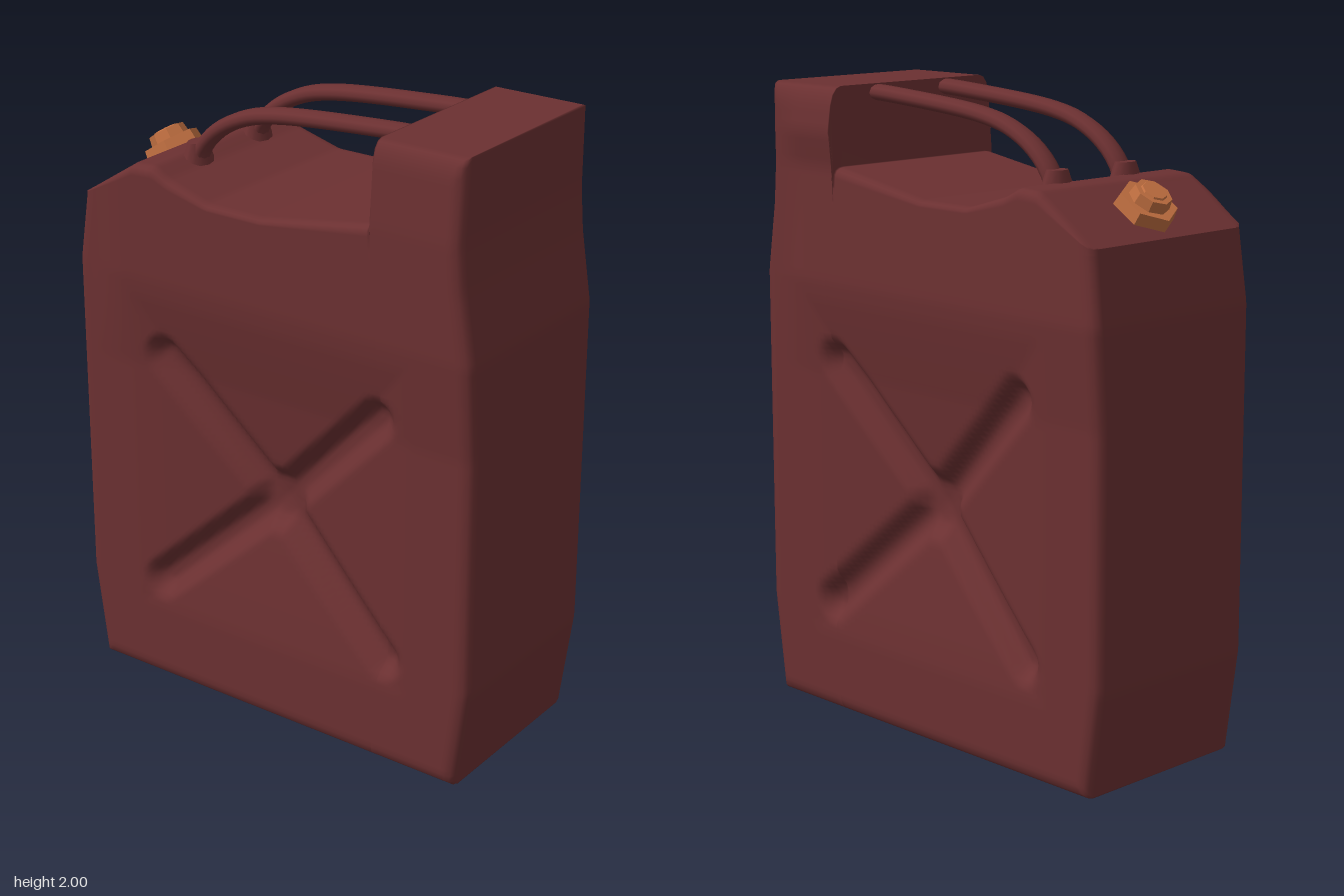
import * as THREE from 'three';

const red = new THREE.MeshStandardMaterial({ color: 0x6b3031 });
red.name = 'dark red paint';
const copper = new THREE.MeshStandardMaterial({ color: 0xbf6e40 });
copper.name = 'copper';

// Piecewise linear lookup in [input, output] pairs
function lerpTable(table, t) {
  if (t <= table[0][0]) return table[0][1];
  for (let i = 1; i < table.length; i++) {
    const [a, va] = table[i - 1], [b, vb] = table[i];
    if (t <= b) return va + (vb - va) * (t - a) / (b - a);
  }
  return table[table.length - 1][1];
}

const DEPTH = 0.735, EDGE = 0.035, WIDTH = 0.325;
// The top line steps up to the raised block at the front
const STEP = [0.4145, 0.4155];
const topLine = [[-0.735, 1.62], [-0.51, 1.76], [-0.43, 1.765], [-0.37, 1.735],
  [-0.21, 1.69], [0, 1.69], [STEP[0], 1.755], [STEP[1], 2], [0.735, 2]];
const halfDepth = [[0, 0.69], [0.33, 0.735], [1.4, 0.735], [1.62, 0.7], [1.75, 0.69], [2, 0.69]];
const bulge = {
  1: [[1.1, 0], [1.4, 0.022], [1.75, 0], [1.86, 0.02], [2, 0]],
  [-1]: [[1.1, 0], [1.4, 0.025], [1.75, 0.025], [2, 0.005]],
};

// Rows are level up to the shoulder, then stretch to the top line
const SHOULDER = 1.6, SPLIT = 0.86;
const rowHeight = (v, top) => v < SPLIT
  ? SHOULDER * v / SPLIT
  : SHOULDER + (top - SHOULDER) * (v - SPLIT) / (1 - SPLIT);

// Pressed panel: a broad shallow dent with an X of grooves meeting in a pocket
const HUB_Y = 0.75;
const armEnds = [[0.4, 0.4], [-0.4, 0.4], [0.43, -0.39], [-0.43, -0.39]];
function dent(z, y) {
  const dy = y - HUB_Y;
  const m = Math.max(Math.abs(z) / 0.52, Math.abs(dy) / (dy > 0 ? 0.6 : 0.5));
  const broad = 0.072 * Math.max(0, 1 - m) ** 1.2;
  let nearest = Math.max(0, Math.hypot(z, dy) - 0.045);
  for (const [az, ay] of armEnds) {
    const t = THREE.MathUtils.clamp((z * az + dy * ay) / (az * az + ay * ay), 0, 1);
    nearest = Math.min(nearest, Math.hypot(z - az * t, dy - ay * t));
  }
  return broad + 0.045 * (1 - THREE.MathUtils.smoothstep(nearest, 0.015, 0.075));
}

// Grid lines from 0 to 1, packed at both ends for the rounded rim
function gridLines(count, length) {
  const e = EDGE / length;
  const lines = [0, 0.12 * e, 0.45 * e];
  for (let i = 0; i <= count; i++) lines.push(e + (1 - 2 * e) * i / count);
  return [...lines, 1 - 0.45 * e, 1 - 0.12 * e, 1];
}

// Two dented side sheets joined by a band around the rim
function bodyGeometry() {
  const us = [...gridLines(90, DEPTH * 2), ...STEP.map(z => (z / DEPTH + 1) / 2)].sort((a, b) => a - b);
  const vs = gridLines(100, 1.75);
  const nu = us.length, nv = vs.length, pos = [], idx = [];
  for (const side of [1, -1]) {
    for (const u of us) for (const v of vs) {
      const z0 = (u * 2 - 1) * DEPTH, y = rowHeight(v, lerpTable(topLine, z0));
      const z = z0 * lerpTable(halfDepth, y) / DEPTH;
      const d = Math.min(u * 2 * DEPTH, (1 - u) * 2 * DEPTH, v * 1.75, (1 - v) * 1.75, EDGE);
      const round = EDGE - Math.sqrt(Math.max(0, EDGE ** 2 - (EDGE - d) ** 2));
      const swell = lerpTable(bulge[side], y) * (1 - THREE.MathUtils.smoothstep(side * z, 0.52, 0.7));
      pos.push(side * (WIDTH + swell - round - dent(z, y)), y, z);
    }
  }
  const at = (i, j) => i * nv + j, half = nu * nv;
  for (let i = 0; i < nu - 1; i++) for (let j = 0; j < nv - 1; j++) {
    const a = at(i, j), b = at(i, j + 1), c = at(i + 1, j + 1), d = at(i + 1, j);
    idx.push(a, b, c, a, c, d);
    idx.push(half + a, half + c, half + b, half + a, half + d, half + c);
  }
  const rim = [];
  for (let j = 0; j < nv - 1; j++) rim.push(at(0, j));
  for (let i = 0; i < nu - 1; i++) rim.push(at(i, nv - 1));
  for (let j = nv - 1; j > 0; j--) rim.push(at(nu - 1, j));
  for (let i = nu - 1; i > 0; i--) rim.push(at(i, 0));
  rim.forEach((p, k) => {
    const q = rim[(k + 1) % rim.length];
    idx.push(q, p, half + p, q, half + p, half + q);
  });
  const g = new THREE.BufferGeometry();
  g.setAttribute('position', new THREE.Float32BufferAttribute(pos, 3));
  g.setIndex(idx);
  g.computeVertexNormals();
  return g;
}

function part(name, geometry, material) {
  const m = new THREE.Mesh(geometry, material);
  m.name = name;
  return m;
}

function faceted(radiusTop, radiusBottom, height, sides, y) {
  const g = new THREE.CylinderGeometry(radiusTop, radiusBottom, height, sides).toNonIndexed();
  g.computeVertexNormals();
  return g.translate(0, y + height / 2, 0);
}

export function createModel() {
  const model = new THREE.Group();
  model.name = 'fuelCan';
  model.add(part('body', bodyGeometry(), red));

  // Twin handle bars, each with a flared foot
  const path = new THREE.CatmullRomCurve3([[1.975, 0.45], [1.968, 0.3], [1.935, -0.08], [1.905, -0.2],
    [1.85, -0.3], [1.785, -0.36], [1.70, -0.39]].map(([y, z]) => new THREE.Vector3(0, y, z)));
  for (const [side, x] of [['left', 0.14], ['right', -0.15]]) {
    const bar = part(side + 'HandleBar', new THREE.TubeGeometry(path, 32, 0.025, 10), red);
    bar.scale.x = 1.45;
    bar.position.x = x;
    const foot = part(side + 'HandleFoot', new THREE.CylinderGeometry(0.026, 0.05, 0.09, 12), red);
    foot.scale.x = 1.45;
    foot.position.set(x, 1.755, -0.385);
    model.add(bar, foot);
  }

  // Filler cap on the sloping rear shoulder
  const cap = new THREE.Group();
  cap.name = 'fillerCap';
  cap.add(part('capFlange', faceted(0.092, 0.1, 0.055, 6, -0.015), copper),
    part('capNut', faceted(0.058, 0.064, 0.035, 8, 0.038), copper),
    part('capTip', faceted(0.038, 0.042, 0.006, 8, 0.072), copper));
  cap.position.set(0, 1.685, -0.595);
  cap.rotation.x = -0.58;
  model.add(cap);
  return model;
}
